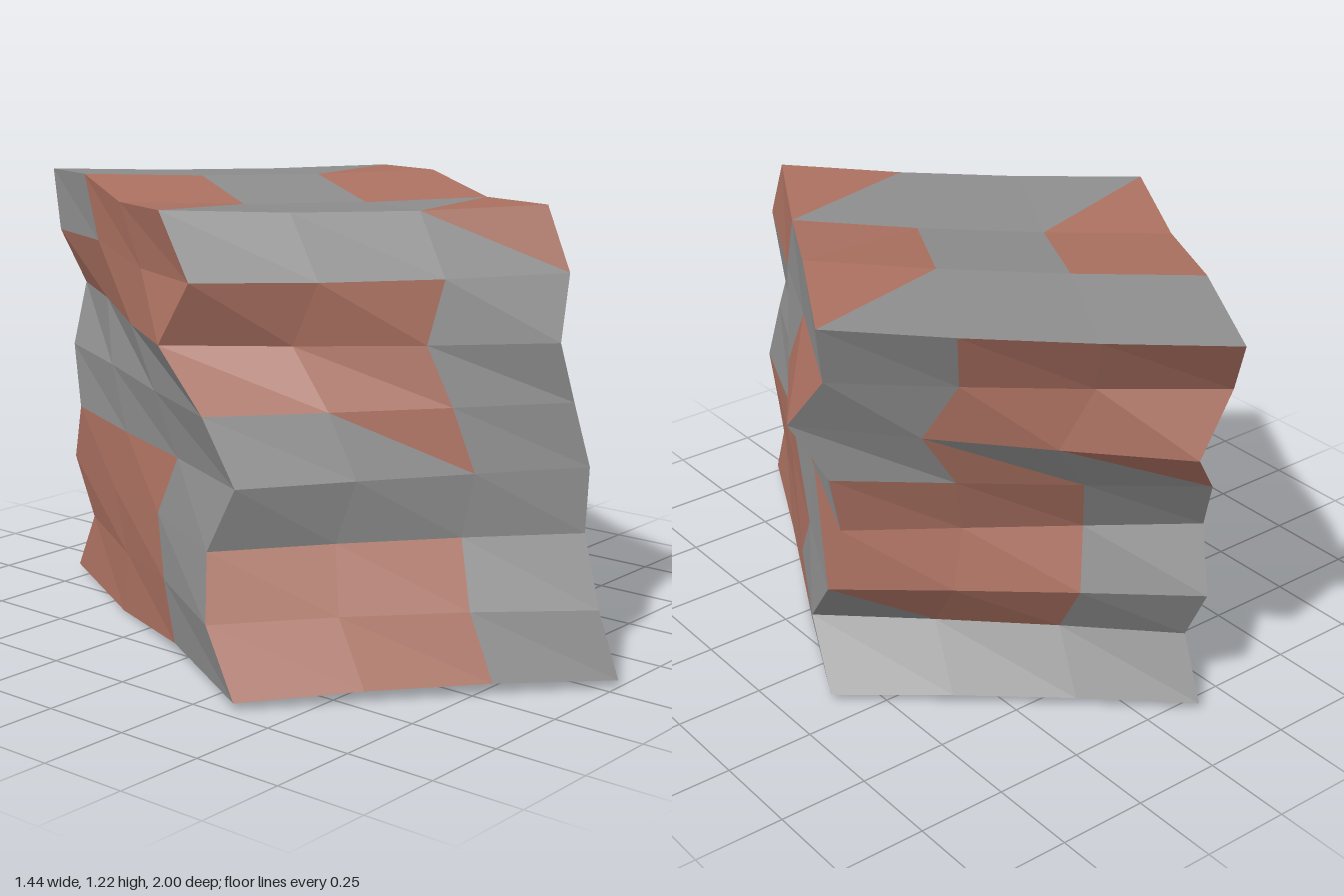
import * as THREE from 'three';

// Levels from top to bottom: y, then x,z of the left, front and back corners.
const LEVELS = [
  [1.20, -0.55, -0.04, 0.19, 0.65, -0.02, -1.00],
  [1.03, -0.585, 0.095, 0.18, 0.73, -0.085, -0.905],
  [0.86, -0.59, -0.01, 0.10, 0.76, 0.01, -0.90],
  [0.70, -0.61, 0.16, 0.14, 0.78, -0.13, -0.81],
  [0.53, -0.61, 0.27, 0.16, 0.82, -0.19, -0.725],
  [0.36, -0.635, 0.195, 0.13, 0.83, -0.145, -0.80],
  [0.19, -0.69, 0.24, 0.05, 0.93, -0.16, -0.71],
  [0.02, -0.72, 0.36, 0.04, 1.00, -0.14, -0.80],
];

// Point on level k: s runs from the left to the front corner, t towards the back.
function point(k, s, t) {
  const [y, lx, lz, fx, fz, bx, bz] = LEVELS[k];
  const amp = 1 - (2 * k) / 7;
  const wave = -0.023 * Math.sin(2 * Math.PI * t) - 0.013 * Math.sin(Math.PI * s) * (1 - 0.3 * t);
  return [
    lx + s * (fx - lx) + t * (bx - lx),
    y + amp * wave,
    lz + s * (fz - lz) + t * (bz - lz),
  ];
}

// Colour patches per cell: '#' clay, '.' grey, 'u' / 'l' only the upper / lower triangle is clay.
// flip: the diagonal rises to the right instead of falling.
const FACES = [
  { at: (i, j) => point(j, i / 3, 0), // front
    rows: ['..u', '##.', '##.', '.u.', '...', '##.', '##.'] },
  { at: (i, j) => point(j, 1, i / 3), // side at +x
    rows: ['#..', '..#', '.l.', '.#.', '#lu', '##.', '##.'] },
  { at: (i, j) => point(j, 1 - i / 3, 1), // back
    rows: ['.##', '.##', '.lu', '##.', '##.', 'u#.', '...'] },
  { at: (i, j) => point(j, 0, 1 - i / 3), // side at -x
    rows: ['.##', '###', '...', '...', '##.', '##.', '##.'] },
  { at: (i, j) => point(0, i / 3, 1 - j / 3), flip: true, // top
    rows: ['..l', '#.#', 'u.l'] },
  { at: (i, j) => point(7, 1 - i / 3, 1 - j / 3), // underside
    rows: ['.##', 'lu#', '#..'] },
];

function facetMesh(name, positions, color) {
  const geometry = new THREE.BufferGeometry();
  geometry.setAttribute('position', new THREE.Float32BufferAttribute(positions, 3));
  geometry.computeVertexNormals();
  const mesh = new THREE.Mesh(geometry, new THREE.MeshStandardMaterial({ color, flatShading: true }));
  mesh.name = name;
  return mesh;
}

export function createModel() {
  const grey = [];
  const clay = [];

  for (const { at, rows, flip } of FACES) {
    rows.forEach((row, j) => {
      [...row].forEach((mark, i) => {
        const a = at(i, j), b = at(i, j + 1), c = at(i + 1, j + 1), d = at(i + 1, j);
        const upper = flip ? [a, b, d] : [a, c, d];
        const lower = flip ? [b, c, d] : [a, b, c];
        (mark === '#' || mark === 'u' ? clay : grey).push(...upper.flat());
        (mark === '#' || mark === 'l' ? clay : grey).push(...lower.flat());
      });
    });
  }

  const group = new THREE.Group();
  group.name = 'twistedBlock';
  group.add(facetMesh('greyFacets', grey, 0x8c8c8c));
  group.add(facetMesh('clayFacets', clay, 0xaa7060));
  return group;
}
